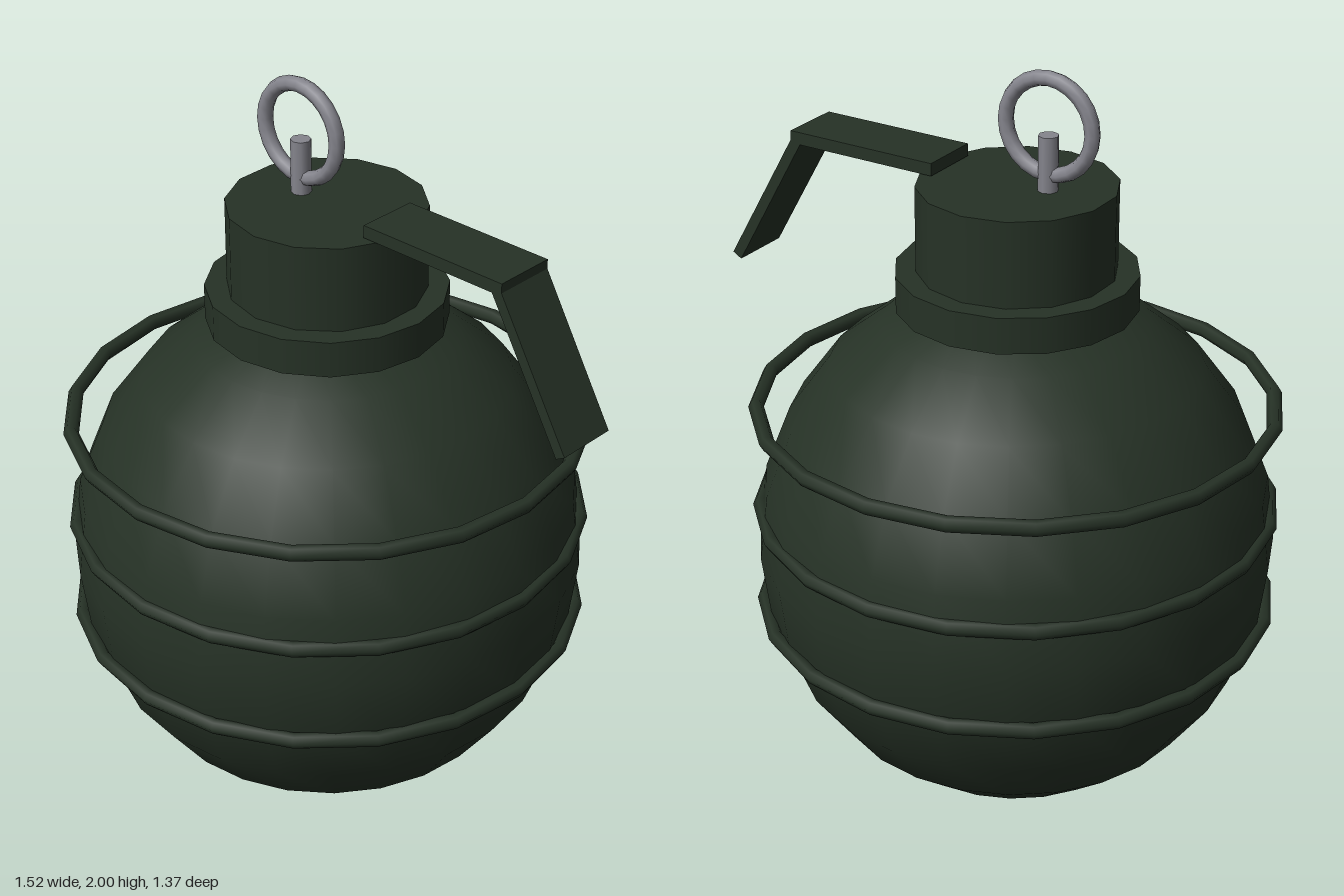
import * as THREE from 'three';

export function createModel() {
  const group = new THREE.Group();
  const green = new THREE.MeshStandardMaterial({ color: 0x263226 });
  green.name = 'dark olive green';
  const steel = new THREE.MeshStandardMaterial({ color: 0x85858d });
  steel.name = 'steel grey';

  const axisX = -0.075; // the body's axis sits left of the origin to balance the lever
  const add = (name, geometry, material, x, y) => {
    const mesh = new THREE.Mesh(geometry, material);
    mesh.name = name;
    mesh.position.set(x, y, 0);
    group.add(mesh);
    return mesh;
  };

  // Slightly tall round body
  add('body', new THREE.SphereGeometry(0.675, 24, 12), green, axisX, 0.712).scale.y = 1.052;

  // Three equal bands
  [0.535, 0.818, 1.101].forEach((y, i) => {
    const band = new THREE.TorusGeometry(0.665, 0.02, 6, 20).rotateX(Math.PI / 2);
    add(`band${i + 1}`, band, green, axisX, y);
  });

  // Collar and fuse housing
  add('collar', new THREE.CylinderGeometry(0.309, 0.309, 0.095, 16), green, axisX, 1.423);
  add('fuseHousing', new THREE.CylinderGeometry(0.254, 0.254, 0.33, 14), green, axisX, 1.53);

  // Safety lever: flat arm and bent-down handle
  add('leverArm', new THREE.BoxGeometry(0.43, 0.033, 0.166), green, 0.34, 1.714);
  add('leverHandle', new THREE.BoxGeometry(0.029, 0.43, 0.166), green, 0.641, 1.528).rotation.z = Math.PI / 6;

  // Pin and pull ring
  add('pin', new THREE.CylinderGeometry(0.026, 0.026, 0.16, 8), steel, -0.162, 1.757);
  add('pullRing', new THREE.TorusGeometry(0.122, 0.02, 8, 24), steel, -0.162, 1.858);

  return group;
}
